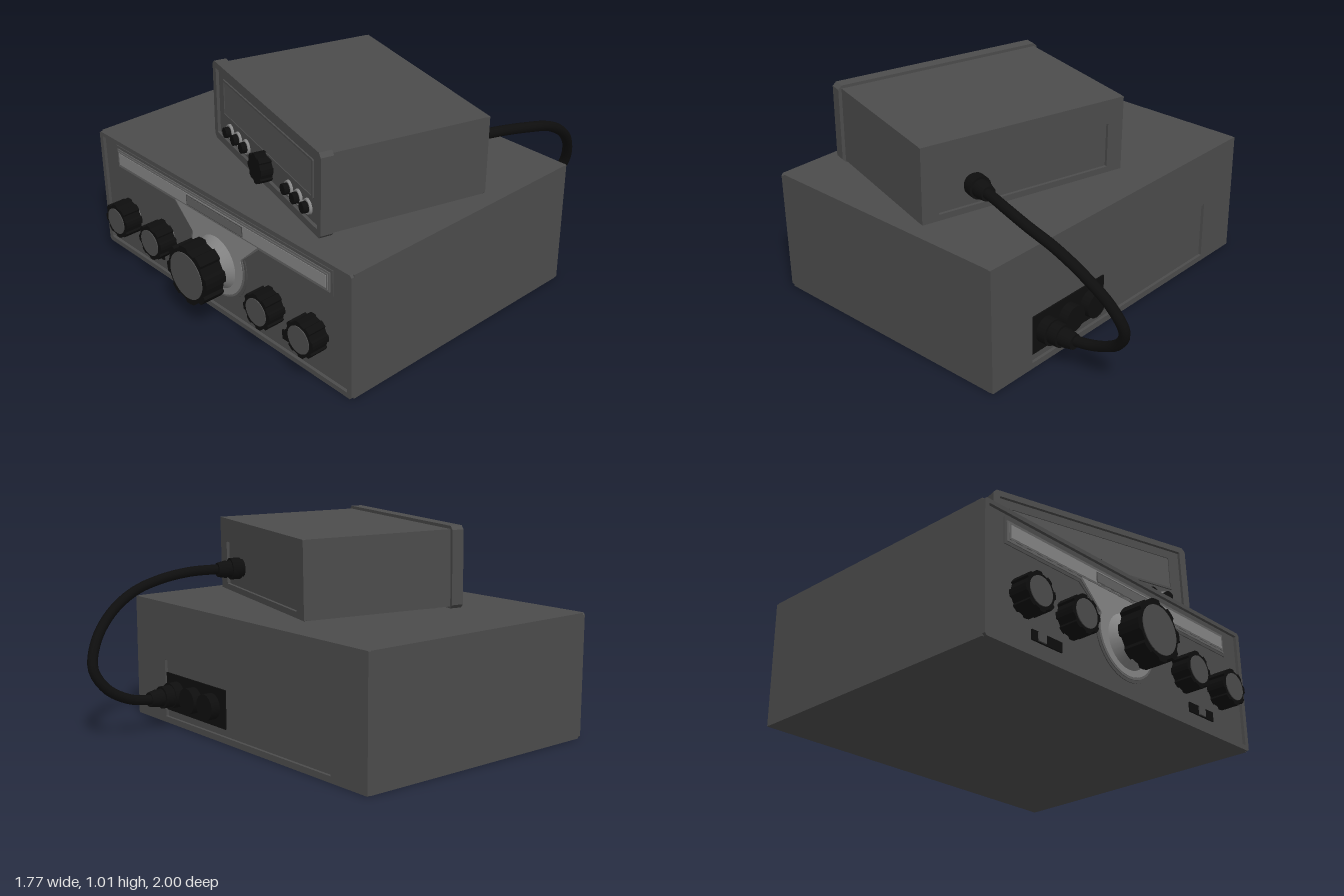
import * as THREE from 'three';

const mat = (name, color) => Object.assign(new THREE.MeshStandardMaterial({ color }), { name });

export function createModel() {
  const casing = mat('casing grey', 0x4c4c4c);
  const black = mat('black plastic', 0x0e0e0e);
  const trim = mat('light trim', 0x858585);
  const trimDark = mat('trim edge', 0x626262);
  const glass = mat('window grey', 0x555555);

  const add = (parent, name, geo, material, x = 0, y = 0, z = 0) => {
    const m = new THREE.Mesh(geo, material);
    m.name = name;
    m.position.set(x, y, z);
    parent.add(m);
    return m;
  };
  const box = (parent, name, material, w, h, d, x, y, z) =>
    add(parent, name, new THREE.BoxGeometry(w, h, d), material, x, y, z);
  // Cylinder lying along z
  const disc = (parent, name, material, rBack, rFront, d, x, y, z, n = 24) =>
    add(parent, name, new THREE.CylinderGeometry(rFront, rBack, d, n).rotateX(Math.PI / 2), material, x, y, z);
  const extrude = (shape, depth) =>
    new THREE.ExtrudeGeometry(shape, { depth, bevelEnabled: false, curveSegments: 24 });

  // Rectangle with clipped corners
  const clipped = (x0, x1, y0, y1, c) => new THREE.Shape([
    [x0 + c, y0], [x1 - c, y0], [x1, y0 + c], [x1, y1 - c],
    [x1 - c, y1], [x0 + c, y1], [x0, y1 - c], [x0, y0 + c],
  ].map(([x, y]) => new THREE.Vector2(x, y)));
  // Border around a recessed panel: outer and inner are [x0, x1, y0, y1]
  const frame = (parent, name, outer, inner, depth, z, c) => {
    const s = clipped(...outer, c);
    s.holes.push(clipped(...inner, 0.002));
    return add(parent, name, extrude(s, depth), casing, 0, 0, z);
  };

  // Knob with raised grip ribs
  const knob = (parent, name, r, depth, x, y, z, capRatio) => {
    const g = new THREE.Group();
    g.name = name;
    g.position.set(x, y, z);
    parent.add(g);
    const pts = [];
    const ribs = 8, step = Math.PI * 2 / ribs;
    for (let i = 0; i < ribs; i++) {
      const a = i * step + 0.1;
      for (const [f, k] of [[-0.22, 1], [0, 1], [0.22, 1], [0.3, 0.9], [0.5, 0.89], [0.7, 0.9]]) {
        pts.push(new THREE.Vector2(Math.cos(a + f * step) * r * k, Math.sin(a + f * step) * r * k));
      }
    }
    add(g, 'knobGrip', extrude(new THREE.Shape(pts), depth), black);
    if (capRatio) disc(g, 'knobCap', casing, r * capRatio, r * capRatio, 0.006, 0, 0, depth + 0.001, 32);
    return g;
  };

  const model = new THREE.Group();
  model.name = 'radioSet';

  // ---- Large lower unit ----
  const base = new THREE.Group();
  base.name = 'lowerUnit';
  model.add(base);
  box(base, 'lowerCasing', casing, 1.77, 0.61, 1.33, 0, 0.305, 0.15);
  frame(base, 'lowerFrontFrame', [-0.885, 0.885, 0, 0.61], [-0.86, 0.86, 0.025, 0.59], 0.015, 0.815, 0.01);
  frame(base, 'lowerRearFrame', [-0.885, 0.885, 0, 0.61], [-0.65, 0.63, 0.03, 0.32], 0.015, -0.53, 0.002);

  // Front trim: long strip flowing into a round dial surround
  const trimShape = (o) => {
    const s = new THREE.Shape();
    const a = 0.35, r = 0.19 + o;
    s.moveTo(-0.75 - o, 0.56 + o);
    s.lineTo(0.75 + o, 0.56 + o);
    s.lineTo(0.75 + o, 0.465 - o);
    s.lineTo(0.3 + o * 0.4, 0.465 - o);
    s.absarc(0, 0.29, r, a, Math.PI - a, true);
    s.lineTo(-0.3 - o * 0.4, 0.465 - o);
    s.lineTo(-0.75 - o, 0.465 - o);
    return s;
  };
  add(base, 'trimOutline', extrude(trimShape(0.014), 0.004), casing, 0, 0, 0.815);
  add(base, 'trimPlate', extrude(trimShape(0), 0.004), trimDark, 0, 0, 0.819);
  add(base, 'trimFace', extrude(trimShape(-0.01), 0.003), trim, 0, 0, 0.822);
  box(base, 'stripEdge', trimDark, 1.48, 0.075, 0.004, 0, 0.513, 0.825);
  box(base, 'strip', trim, 1.464, 0.06, 0.004, 0, 0.513, 0.827);
  box(base, 'dialWindowEdge', casing, 0.4, 0.052, 0.004, 0, 0.511, 0.828);
  box(base, 'dialWindow', trimDark, 0.388, 0.042, 0.004, 0, 0.511, 0.829);
  disc(base, 'dialCone', trim, 0.135, 0.065, 0.075, 0, 0.27, 0.8575, 32);

  // Tuning knob and four small knobs
  knob(base, 'tuningKnob', 0.145, 0.108, 0, 0.27, 0.888, 0.79);
  for (const s of [-1, 1]) {
    for (const x of [0.388, 0.663]) {
      disc(base, 'knobCollar', trim, 0.055, 0.055, 0.02, s * x, 0.235, 0.823);
      knob(base, 'controlKnob', 0.088, 0.09, s * x, 0.235, 0.83, 0.74);
    }
    // Slide switches
    box(base, 'switchSlot', black, 0.18, 0.046, 0.008, s * 0.53 - (s < 0 ? -0.01 : 0), 0.1, 0.818);
    box(base, 'switchLever', casing, 0.045, 0.04, 0.014, s < 0 ? -0.553 : 0.53, 0.1, 0.822);
  }

  // Rear sockets
  box(base, 'socketPlate', black, 0.5, 0.19, 0.008, 0.38, 0.16, -0.518);
  for (const x of [0.235, 0.385, 0.535]) {
    disc(base, 'rearSocket', black, 0.064, 0.064, 0.055, x, 0.16, -0.5425, 16);
  }

  // ---- Small upper unit, turned and slightly tilted ----
  const upper = new THREE.Group();
  upper.name = 'upperUnit';
  upper.position.set(0.1875, 0.62, 0.207);
  upper.rotation.set(-0.017, -0.2618, 0);
  model.add(upper);
  box(upper, 'upperCasing', casing, 1.066, 0.37, 0.785, 0, 0.185, -0.0025);
  frame(upper, 'upperRearFrame', [-0.533, 0.533, 0, 0.37], [-0.45, 0.45, 0.03, 0.25], 0.015, -0.41, 0.002);
  frame(upper, 'upperBezel', [-0.55, 0.55, -0.01, 0.385], [-0.515, 0.515, 0.025, 0.355], 0.06, 0.35, 0.018);
  box(upper, 'upperPanel', casing, 1.04, 0.34, 0.02, 0, 0.19, 0.385);
  frame(upper, 'displayFrame', [-0.46, 0.46, 0.137, 0.318], [-0.448, 0.448, 0.147, 0.308], 0.008, 0.394, 0.004);
  box(upper, 'displayWindow', glass, 0.896, 0.161, 0.004, 0, 0.2275, 0.396);
  for (const z of [-0.27, 0.25]) box(upper, 'foot', casing, 0.96, 0.02, 0.1, 0, -0.004, z);

  // Upper buttons and knob
  for (const s of [-1, 1]) {
    for (const x of [0.22, 0.31, 0.4]) {
      disc(upper, 'buttonRing', trim, 0.037, 0.034, 0.012, s * x + 0.01, 0.078, 0.4);
      disc(upper, 'button', black, 0.027, 0.025, 0.04, s * x + 0.01, 0.078, 0.41);
    }
  }
  knob(upper, 'upperKnob', 0.072, 0.06, 0, 0.078, 0.395, 0);

  // ---- Cable with a plug at each end ----
  const plug = (parent, x, y, z) => {
    disc(parent, 'plugCollar', black, 0.045, 0.045, 0.03, x, y, z - 0.015, 16);
    disc(parent, 'plugRing', black, 0.055, 0.055, 0.05, x, y, z - 0.045, 16);
    disc(parent, 'plugBody', black, 0.04, 0.045, 0.03, x, y, z - 0.08, 16);
    disc(parent, 'plugSleeve', black, 0.036, 0.045, 0.045, x, y, z - 0.115, 16);
  };
  plug(upper, 0.27, 0.135, -0.392);
  plug(base, 0.53, 0.16, -0.55);
  const path = new THREE.CatmullRomCurve3([
    [0.575, 0.748, -0.18], [0.595, 0.75, -0.26], [0.63, 0.745, -0.38], [0.655, 0.72, -0.53],
    [0.655, 0.675, -0.68], [0.635, 0.59, -0.82], [0.595, 0.47, -0.93], [0.555, 0.345, -0.972],
    [0.527, 0.25, -0.92], [0.515, 0.19, -0.82], [0.52, 0.165, -0.72], [0.53, 0.16, -0.6],
  ].map((p) => new THREE.Vector3(...p)));
  add(model, 'cable', new THREE.TubeGeometry(path, 48, 0.025, 10), black);

  return model;
}
